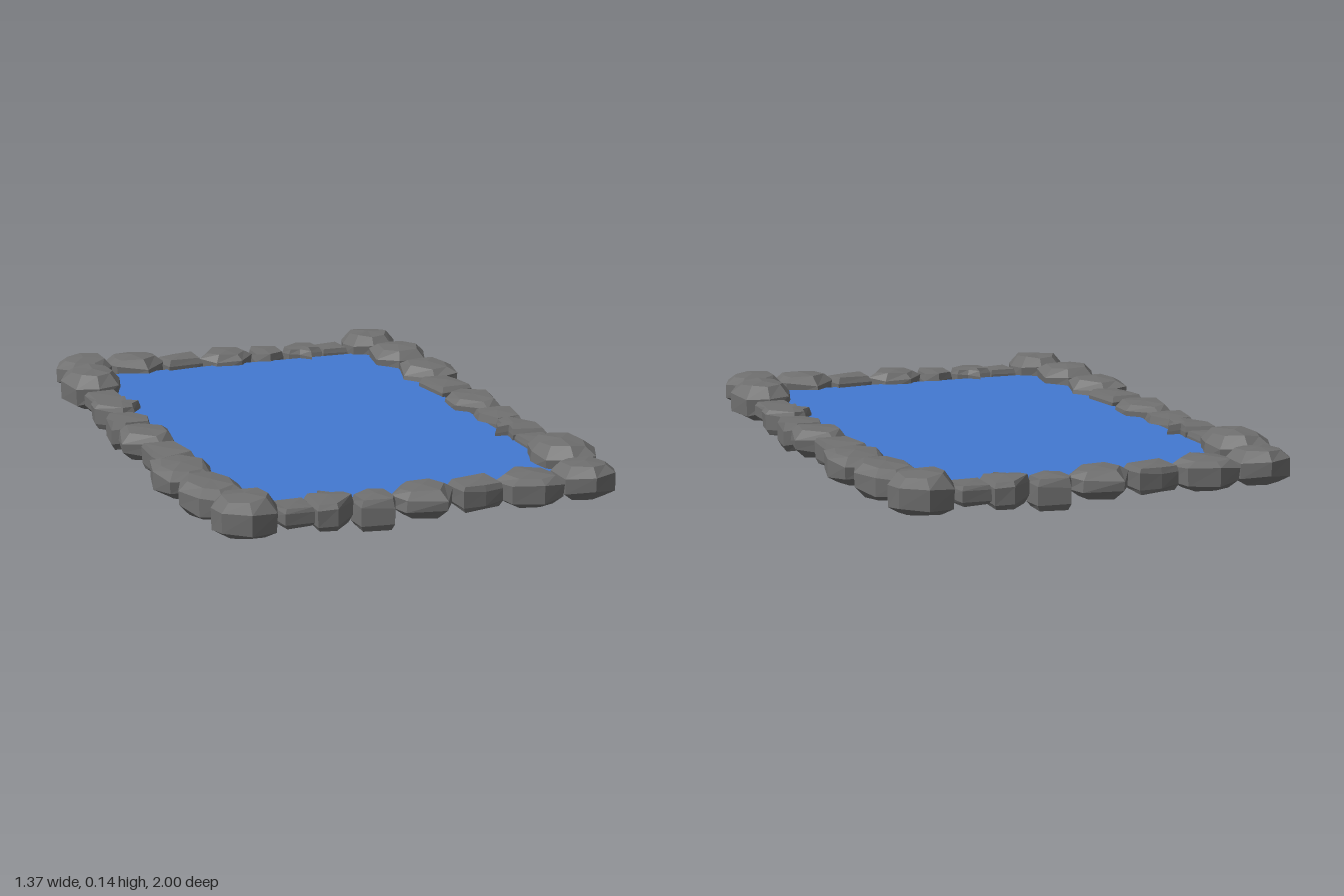
import * as THREE from 'three';

// One row of stones: height range, bulge (1 = rounded, 0 = blocky) and plan outline [x, z]
const STONES = [
  { y: [0.015, 0.13], round: 1, outline: [[-.645, -.89], [-.62, -.955], [-.54, -.99], [-.455, -.95], [-.45, -.85], [-.51, -.79], [-.61, -.81]] },
  { y: [0.015, 0.12], round: 1, outline: [[-.455, -.91], [-.44, -.975], [-.365, -1], [-.27, -.975], [-.25, -.88], [-.33, -.8], [-.44, -.84]] },
  { y: [0.02, 0.105], round: 0, outline: [[-.27, -.925], [-.2, -.945], [-.125, -.95], [-.12, -.84], [-.25, -.82]] },
  { y: [0.015, 0.11], round: 1, outline: [[-.12, -.885], [-.06, -.99], [.06, -.96], [.085, -.895], [.02, -.81], [-.075, -.82]] },
  { y: [0, 0.1], round: 0, outline: [[.08, -.93], [.1, -.97], [.2, -.955], [.2, -.865], [.135, -.825], [.08, -.84]] },
  { y: [0.015, 0.105], round: 0, outline: [[.2, -.895], [.275, -.97], [.335, -.96], [.335, -.84], [.29, -.85], [.285, -.805], [.25, -.84], [.21, -.85]] },
  { y: [0.03, 0.095], round: 0, outline: [[.335, -.945], [.43, -.95], [.44, -.84], [.34, -.84]] },
  { y: [0.005, 0.14], round: 1, outline: [[.435, -.895], [.46, -.97], [.545, -.995], [.625, -.955], [.635, -.875], [.595, -.8], [.52, -.79], [.45, -.82]] },
];
const ROW_Z = -0.89;

function seeded(seed) {
  return () => {
    seed = (seed * 16807) % 2147483647;
    return seed / 2147483647 - 0.5;
  };
}

// Faceted stone: four uneven rings of the outline, closed with low fans
function stoneGeometry({ y: [low, high], round, outline }, seed) {
  const rand = seeded(seed);
  const n = outline.length;
  const cx = outline.reduce((s, p) => s + p[0], 0) / n;
  const cz = outline.reduce((s, p) => s + p[1], 0) / n;
  const scales = round ? [0.62, 0.97, 0.98, 0.68] : [0.82, 0.98, 0.98, 0.86];
  const levels = round ? [0.08, 0.3, 0.72, 0.95] : [0.04, 0.22, 0.75, 0.96];
  const h = high - low;
  const pos = [], index = [];

  scales.forEach((s, r) => {
    for (const [x, z] of outline) {
      const k = s + rand() * 0.08;
      const y = low + h * (levels[r] + rand() * (r % 3 ? 0.16 : 0.08));
      pos.push((x - cx) * k, y, (z - cz) * k);
    }
  });
  pos.push(0, low, 0, 0, high, 0);

  for (let i = 0; i < n; i++) {
    const j = (i + 1) % n;
    for (let r = 0; r < 3; r++) {
      const a = r * n + i, b = r * n + j;
      index.push(b, a, a + n, b, a + n, b + n);
    }
    index.push(4 * n, i, j, 4 * n + 1, 3 * n + j, 3 * n + i);
  }
  const g = new THREE.BufferGeometry();
  g.setAttribute('position', new THREE.Float32BufferAttribute(pos, 3));
  g.setIndex(index);
  g.translate(cx, 0, cz - ROW_Z);
  const flat = g.toNonIndexed();
  flat.computeVertexNormals();
  return flat;
}

export function createModel() {
  const model = new THREE.Group();
  model.name = 'stonePond';

  const stoneMat = new THREE.MeshStandardMaterial({ color: 0x707070, flatShading: true });
  const waterMat = new THREE.MeshStandardMaterial({ color: 0x4379d1, side: THREE.DoubleSide });

  // Water sheet
  const water = new THREE.Mesh(new THREE.PlaneGeometry(1.06, 1.68).rotateX(-Math.PI / 2), waterMat);
  water.name = 'water';
  water.position.y = 0.07;
  model.add(water);

  // The same row edges all four sides, stretched along the long ones
  const geometries = STONES.map((stone, i) => stoneGeometry(stone, 4711 + i * 977));
  ['backEdge', 'leftEdge', 'frontEdge', 'rightEdge'].forEach((name, side) => {
    const edge = new THREE.Group();
    edge.name = name;
    edge.rotation.y = -side * Math.PI / 2;
    const long = side % 2 === 1;
    geometries.forEach((geometry, i) => {
      const stone = new THREE.Mesh(geometry, stoneMat);
      stone.name = 'stone' + (i + 1);
      stone.position.z = long ? -0.573 : ROW_Z;
      stone.scale.x = long ? 1.265 : 1;
      edge.add(stone);
    });
    model.add(edge);
  });

  return model;
}
